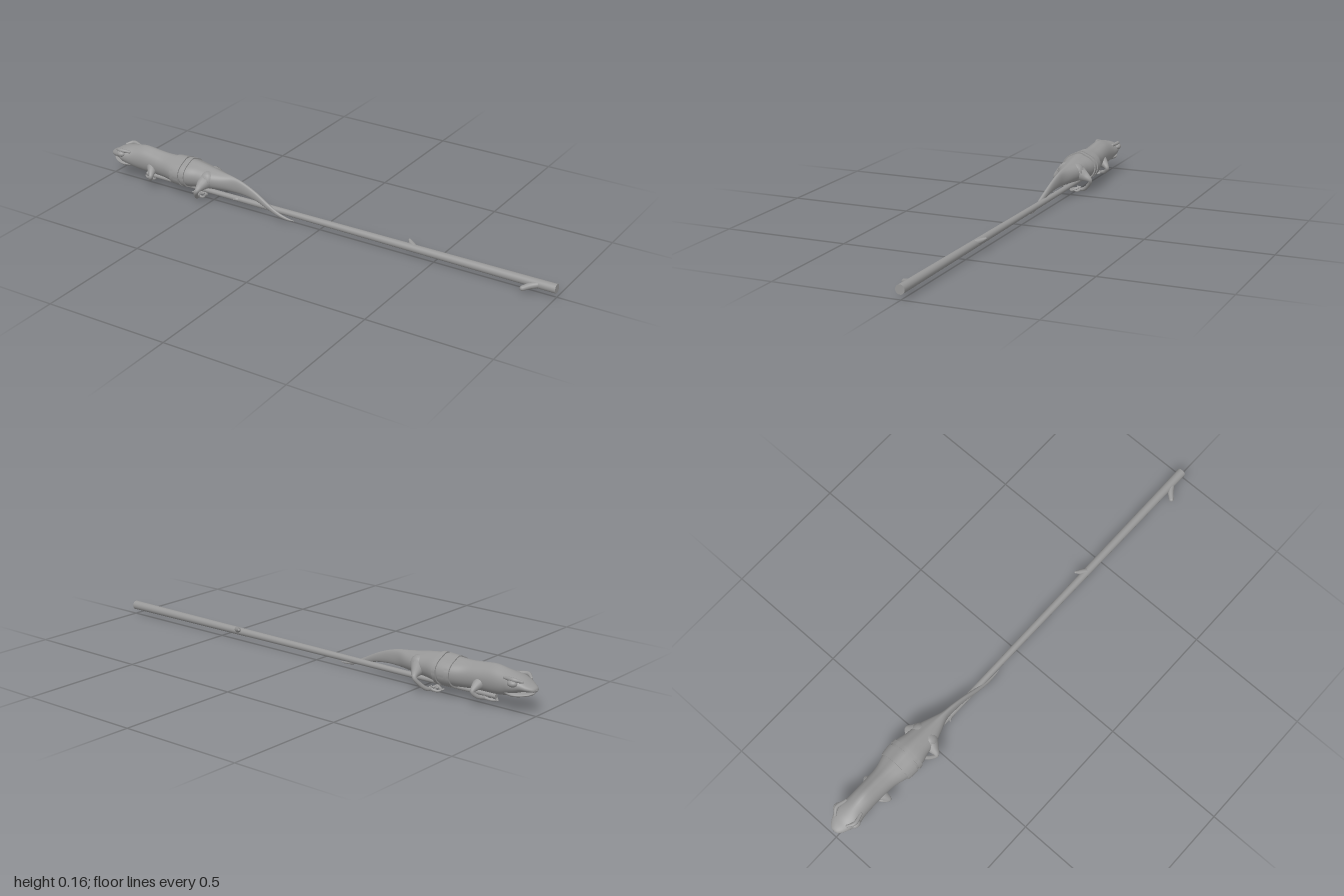
import * as THREE from 'three';
import { toCreasedNormals } from 'three/addons/utils/BufferGeometryUtils.js';

const material = new THREE.MeshStandardMaterial({ color: 0x979797, side: THREE.DoubleSide });
const V = (p) => new THREE.Vector3(p[0], p[1], p[2]);

function add(parent, geometry, name) {
  const mesh = new THREE.Mesh(geometry, material);
  mesh.name = name;
  parent.add(mesh);
  return mesh;
}

// Smoothly samples rows of numbers; u runs from 0 to rows.length - 1
function sample(rows, u) {
  const i = Math.min(Math.floor(u), rows.length - 2), t = u - i;
  const at = (k) => rows[Math.max(0, Math.min(rows.length - 1, k))];
  return rows[0].map((_, c) => {
    const [a, b, d, e] = [at(i - 1)[c], at(i)[c], at(i + 1)[c], at(i + 2)[c]];
    const m = (d - a) / 2, n = (e - b) / 2;
    return b + m * t + (3 * (d - b) - 2 * m - n) * t * t + (2 * (b - d) + m + n) * t * t * t;
  });
}

function sampleAll(rows, steps) {
  return Array.from({ length: (rows.length - 1) * steps + 1 }, (_, k) => sample(rows, k / steps));
}

// Skin over stations along x: [x, top, bottom, halfWidth, z, ridge]
function loft(stations, around = 48) {
  const pos = [], index = [];
  stations.forEach(([x, top, bottom, w, z, ridge], i) => {
    const mid = (top + bottom) / 2, h = (top - bottom) / 2;
    for (let j = 0; j < around; j++) {
      const a = (j / around) * Math.PI * 2, c = Math.cos(a), s = Math.sin(a);
      const crest = c > 0 ? (1 - ridge) * c + ridge * Math.pow(c, 30) : c;
      pos.push(x, mid + h * crest, z + w * Math.sign(s) * Math.pow(Math.abs(s), 0.9));
      if (i > 0) {
        const n = (j + 1) % around, p = (i - 1) * around, q = i * around;
        index.push(p + j, p + n, q + j, p + n, q + n, q + j);
      }
    }
  });
  const g = new THREE.BufferGeometry();
  g.setAttribute('position', new THREE.Float32BufferAttribute(pos, 3));
  g.setIndex(index);
  g.computeVertexNormals();
  return g;
}

// Raised band around the skin, with rims turned in at both ends
function band(rows, from, to) {
  const inside = sampleAll(rows, 24).filter(([x]) => x >= from && x <= to);
  const grow = ([x, top, bottom, w, z, ridge], d) => [x, top + d, bottom - d, w + d, z, ridge];
  const outer = inside.map((s) => grow(s, 0.005));
  return toCreasedNormals(loft([grow(inside[0], -0.003), ...outer, grow(inside[inside.length - 1], -0.003)]), 0.7);
}

// Tapered tube through points [x, y, z, radius], with rounded ends
function branch(parent, points, name, segments = 24, sides = 14) {
  const group = new THREE.Group();
  group.name = name;
  const curve = new THREE.CatmullRomCurve3(points.map(V));
  const g = new THREE.TubeGeometry(curve, segments, 1, sides);
  const p = g.attributes.position, n = g.attributes.normal;
  for (let i = 0; i < p.count; i++) {
    const u = curve.getUtoTmapping(Math.floor(i / (sides + 1)) / segments);
    const cut = 1 - sample(points, u * (points.length - 1))[3];
    p.setXYZ(i, p.getX(i) - n.getX(i) * cut, p.getY(i) - n.getY(i) * cut, p.getZ(i) - n.getZ(i) * cut);
  }
  add(group, g, name + 'Skin');
  for (const e of [points[0], points[points.length - 1]]) {
    add(group, new THREE.SphereGeometry(e[3], 12, 8), name + 'End').position.copy(V(e));
  }
  parent.add(group);
}

// Straight stick with flat sawn ends and small twigs
function createStick() {
  const stick = new THREE.Group();
  stick.name = 'stick';
  const length = 1.83;
  const shaft = add(stick, new THREE.CylinderGeometry(0.018, 0.009, length, 24, 12), 'shaft');
  shaft.rotation.z = -Math.PI / 2;
  shaft.position.set(1 - length / 2, 0.037, 0.003);
  branch(stick, [[0.93, 0.037, 0.008, 0.013], [0.905, 0.032, 0.026, 0.012], [0.885, 0.026, 0.047, 0.01]], 'endTwig');
  branch(stick, [[0.415, 0.042, 0, 0.012], [0.395, 0.047, -0.015, 0.009], [0.383, 0.051, -0.025, 0.005]], 'middleTwig');
  branch(stick, [[-0.37, 0.037, 0.004, 0.009], [-0.385, 0.037, 0.013, 0.006], [-0.39, 0.038, 0.019, 0.003]], 'smallTwig');
  return stick;
}

function createLizard() {
  const lizard = new THREE.Group();
  lizard.name = 'lizard';

  // Upper jaw, head, trunk and tail as one skin
  const body = [
    [-1.0, 0.098, 0.094, 0.003, 0, 0],
    [-0.995, 0.106, 0.089, 0.018, 0, 0],
    [-0.975, 0.117, 0.087, 0.034, 0, 0],
    [-0.95, 0.132, 0.083, 0.045, 0, 0.02],
    [-0.92, 0.142, 0.07, 0.054, 0, 0.03],
    [-0.88, 0.151, 0.056, 0.047, 0, 0.06],
    [-0.83, 0.16, 0.05, 0.045, 0, 0.1],
    [-0.77, 0.155, 0.05, 0.046, 0, 0.12],
    [-0.72, 0.151, 0.047, 0.05, 0, 0.12],
    [-0.66, 0.152, 0.043, 0.066, 0, 0.13],
    [-0.6, 0.154, 0.043, 0.068, 0, 0.13],
    [-0.55, 0.149, 0.05, 0.056, 0, 0.13],
    [-0.5, 0.14, 0.055, 0.05, 0, 0.12],
    [-0.45, 0.132, 0.058, 0.033, 0, 0.1],
    [-0.4, 0.125, 0.06, 0.015, 0.001, 0.05],
    [-0.35, 0.112, 0.06, 0.011, 0.003, 0],
    [-0.29, 0.088, 0.052, 0.009, 0.007, 0],
    [-0.23, 0.057, 0.033, 0.008, 0.013, 0],
    [-0.18, 0.033, 0.017, 0.006, 0.016, 0],
    [-0.14, 0.02, 0.01, 0.004, 0.015, 0],
    [-0.11, 0.015, 0.013, 0.001, 0.014, 0],
  ];
  add(lizard, loft(sampleAll(body, 6)), 'bodyAndTail');

  // Lower jaw, leaving a narrow open mouth
  add(lizard, loft(sampleAll([
    [-0.988, 0.083, 0.08, 0.003, 0, 0],
    [-0.98, 0.084, 0.074, 0.02, 0, 0],
    [-0.955, 0.082, 0.067, 0.036, 0, 0],
    [-0.92, 0.085, 0.061, 0.045, 0, 0],
    [-0.88, 0.09, 0.062, 0.035, 0, 0],
  ], 6)), 'lowerJaw');

  // Wide wrap and narrow strap around the belly
  add(lizard, band(body, -0.672, -0.622), 'bellyWrap');
  add(lizard, band(body, -0.615, -0.597), 'bellyStrap');

  for (const side of [1, -1]) {
    const label = side > 0 ? 'left' : 'right';
    const m = (points) => points.map(([x, y, z, r]) => [x, y, z * side, r]);

    // Low domed eye under a soft brow
    const eye = add(lizard, new THREE.SphereGeometry(0.015, 20, 14), label + 'Eye');
    eye.position.set(-0.927, 0.118, 0.047 * side);
    eye.scale.set(1.3, 0.85, 1);
    branch(lizard, m([[-0.957, 0.125, 0.03, 0.005], [-0.932, 0.132, 0.046, 0.008], [-0.89, 0.13, 0.038, 0.006]]), label + 'Brow');

    // Legs taper out of the trunk to a pointed joint and come back in to the stick
    branch(lizard, m([[-0.785, 0.092, 0.02, 0.028], [-0.774, 0.073, 0.047, 0.016], [-0.77, 0.056, 0.06, 0.008],
      [-0.782, 0.039, 0.046, 0.008], [-0.797, 0.031, 0.022, 0.007]]), label + 'FrontLeg');
    branch(lizard, m([[-0.51, 0.098, 0.022, 0.036], [-0.52, 0.081, 0.052, 0.023], [-0.527, 0.062, 0.077, 0.009],
      [-0.543, 0.034, 0.061, 0.008], [-0.556, 0.015, 0.038, 0.008], [-0.56, 0.012, 0.022, 0.007]]), label + 'HindLeg');

    // Toes curl around the stick
    for (const k of [-1, 0, 1]) {
      branch(lizard, m([[-0.797, 0.031, 0.022, 0.006], [-0.806 + k * 0.018, 0.026, 0.014, 0.005],
        [-0.815 + k * 0.024, 0.024, -0.002, 0.003]]), label + 'FrontToe', 10, 8);
      branch(lizard, m([[-0.56, 0.012, 0.022, 0.006], [-0.565 + k * 0.02, 0.006, 0.012, 0.005],
        [-0.572 + k * 0.028, 0.012, -0.006, 0.003]]), label + 'HindToe', 10, 8);
    }
  }
  return lizard;
}

export function createModel() {
  const model = new THREE.Group();
  model.name = 'lizardOnStick';
  model.add(createStick(), createLizard());
  return model;
}
